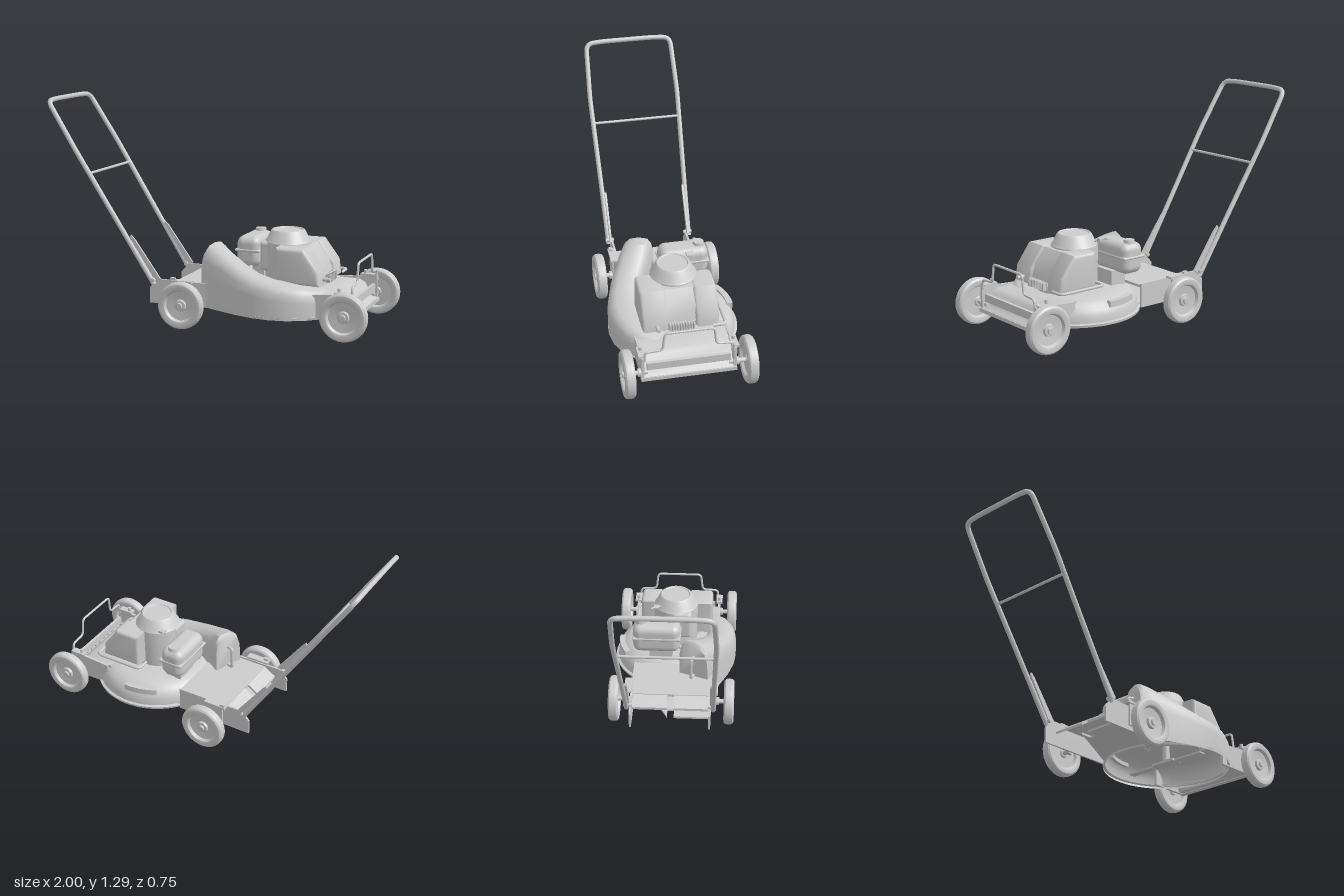
import * as THREE from 'three';
import { toCreasedNormals } from 'three/addons/utils/BufferGeometryUtils.js';
import { RoundedBoxGeometry } from 'three/addons/geometries/RoundedBoxGeometry.js';

const mat = new THREE.MeshStandardMaterial({ color: 0xcccccc, side: THREE.DoubleSide });
const V = (x, y, z) => new THREE.Vector3(x, y, z);

export function createModel() {
  const root = new THREE.Group();

  const add = (name, geo, x = 0, y = 0, z = 0) => {
    const m = new THREE.Mesh(geo, mat);
    m.name = name;
    m.position.set(x, y, z);
    root.add(m);
    return m;
  };
  const box = (name, w, h, d, x, y, z) => add(name, new THREE.BoxGeometry(w, h, d), x, y, z);
  const rounded = (name, w, h, d, r, x, y, z) => add(name, new RoundedBoxGeometry(w, h, d, 4, r), x, y, z);
  const lathe = (pts, seg = 48) => toCreasedNormals(
    new THREE.LatheGeometry(pts.map(p => new THREE.Vector2(p[0], p[1])), seg), 0.6);
  // Side profile in x-y, extruded from z0 to z1
  const profile = (name, pts, z0, z1, bevel = 0) => {
    const shape = new THREE.Shape(pts.map(p => new THREE.Vector2(p[0], p[1])));
    const geo = new THREE.ExtrudeGeometry(shape, {
      depth: z1 - z0 - 2 * bevel, bevelEnabled: bevel > 0,
      bevelSize: bevel, bevelThickness: bevel, bevelOffset: -bevel, bevelSegments: 3,
    });
    return add(name, toCreasedNormals(geo, 0.6), 0, 0, z0 + bevel);
  };
  // Horizontal sheet from an x-z shape, its top at the given height
  const sheet = (name, shape, x, top, thick) => {
    const geo = new THREE.ExtrudeGeometry(shape, { depth: thick, bevelEnabled: false, curveSegments: 32 });
    geo.rotateX(Math.PI / 2);
    return add(name, geo, x, top, 0);
  };
  // Bent tube: straight runs joined by rounded corners
  const tube = (name, pts, r, corner = 0.02, seg = 90) => {
    const path = new THREE.CurvePath();
    let last = pts[0];
    for (let i = 1; i < pts.length - 1; i++) {
      const p = pts[i];
      const toward = q => p.clone().add(q.clone().sub(p).setLength(Math.min(corner, p.distanceTo(q) * 0.45)));
      const a = toward(pts[i - 1]), b = toward(pts[i + 1]);
      path.add(new THREE.LineCurve3(last, a));
      path.add(new THREE.QuadraticBezierCurve3(a, p, b));
      last = b;
    }
    path.add(new THREE.LineCurve3(last, pts[pts.length - 1]));
    return add(name, new THREE.TubeGeometry(path, seg, r, 10));
  };
  const rod = (name, r, len, x, y, z, axis = 'z') => {
    const m = add(name, new THREE.CylinderGeometry(r, r, len, 20), x, y, z);
    if (axis === 'z') m.rotation.x = Math.PI / 2;
    if (axis === 'x') m.rotation.z = Math.PI / 2;
    return m;
  };

  // Round cutting deck, open underneath
  add('deckShell', lathe([[0.372, 0.111], [0.375, 0.125], [0.36, 0.13], [0.357, 0.165], [0.345, 0.195],
    [0.325, 0.22], [0.29, 0.24], [0.25, 0.25], [0, 0.252]], 64), 0.42);
  const slot = new THREE.Shape();
  slot.absarc(0, 0, 0.352, -1.52, -2.1, true);
  slot.absarc(0, 0, 0.318, -2.1, -1.52, false);
  sheet('deckPad', slot, 0.42, 0.236, 0.035);

  // Flat pans joining the round deck to the rear, the chute and the nose
  const rearPan = new THREE.Shape();
  rearPan.moveTo(-0.69, -0.23);
  rearPan.absarc(0, 0, 0.36, -2.44, -4.53, true);
  [[-0.09, 0.362], [-0.2, 0.33], [-0.3, 0.288], [-0.42, 0.23], [-0.69, 0.23], [-0.69, 0.02], [-0.62, 0.02],
    [-0.62, -0.02], [-0.69, -0.02]].forEach(p => rearPan.lineTo(p[0], p[1]));
  sheet('rearPan', rearPan, 0.42, 0.135, 0.012);
  const frontPan = new THREE.Shape();
  frontPan.moveTo(0.45, -0.255);
  frontPan.absarc(0, 0, 0.36, -0.787, 0.787, false);
  frontPan.lineTo(0.45, 0.255);
  sheet('frontPan', frontPan, 0.42, 0.135, 0.012);

  // Discharge chute: [innerX, innerZ, outerX, outerZ, topY] sections sweeping up around the deck
  const sections = [
    [0.03, 0.04, -0.035, 0.21, 0.45], [0.045, 0.045, -0.02, 0.22, 0.472], [0.08, 0.07, 0.03, 0.25, 0.455],
    [0.13, 0.095, 0.12, 0.29, 0.42], [0.22, 0.14, 0.22, 0.333, 0.376], [0.32, 0.18, 0.33, 0.365, 0.335],
    [0.42, 0.2, 0.43, 0.376, 0.312], [0.5, 0.19, 0.53, 0.361, 0.3], [0.57, 0.16, 0.62, 0.319, 0.285],
    [0.61, 0.12, 0.69, 0.256, 0.268], [0.63, 0.07, 0.735, 0.17, 0.25],
  ];
  const arch = [[0, 0], [0, 0.8], [0.05, 0.92], [0.17, 1], [0.45, 1.01], [0.72, 0.97], [0.88, 0.89], [0.97, 0.75], [1, 0.55], [1, 0]];
  const pos = [], idx = [], n = arch.length;
  sections.forEach(([ix, iz, ox, oz, top], i) => arch.forEach(([u, h], j) => {
    // The inner edge rests on the deck top, the outer edge drops to the rim
    pos.push(ix + (ox - ix) * u, j ? 0.111 + (top - 0.111) * h : 0.235, iz + (oz - iz) * u);
    if (i && j) {
      const a = (i - 1) * n + j - 1, b = i * n + j - 1;
      idx.push(a, a + 1, b, b, a + 1, b + 1);
    }
  }));
  for (let j = 1; j < n - 1; j++) idx.push(0, j + 1, j);
  const chute = new THREE.BufferGeometry();
  chute.setAttribute('position', new THREE.Float32BufferAttribute(pos, 3));
  chute.setIndex(idx);
  add('dischargeChute', toCreasedNormals(chute, 0.75));
  tube('chuteHandle', [V(0, 0.25, 0.125), V(-0.035, 0.25, 0.112), V(-0.035, 0.38, 0.112), V(0, 0.38, 0.125)], 0.01, 0.015, 40);

  // Rear platform with two sloping flaps
  box('rearPlatform', 0.32, 0.015, 0.46, -0.04, 0.235, 0);
  for (const s of [1, -1]) {
    profile('rearFlap', [[-0.27, 0.18], [-0.195, 0.228], [-0.195, 0.242], [-0.27, 0.195]], s > 0 ? 0.02 : -0.23, s > 0 ? 0.23 : -0.02);
  }
  // Front frame: sloping nose panel, rail and lip
  profile('frontPanel', [[0.6, 0.235], [0.6, 0.25], [0.78, 0.245], [0.815, 0.225], [0.845, 0.165], [0.885, 0.142],
    [0.89, 0.125], [0.83, 0.125], [0.8, 0.2], [0.77, 0.232]], -0.255, 0.255);
  box('frontRail', 0.018, 0.045, 0.47, 0.868, 0.205, 0);
  box('frontLip', 0.03, 0.022, 0.54, 0.878, 0.13, 0);

  // Wheel cross-section, revolved about its axle
  const wheelGeo = lathe([[0, -0.02], [0.022, -0.02], [0.028, -0.012], [0.085, -0.012], [0.094, -0.027], [0.108, -0.031],
    [0.125, -0.029], [0.134, -0.021], [0.137, -0.008], [0.137, 0.008], [0.134, 0.021], [0.125, 0.029], [0.108, 0.031],
    [0.094, 0.027], [0.085, 0.01], [0.036, 0.004], [0.033, 0.018], [0.018, 0.02], [0.016, 0.03], [0, 0.03]]);
  wheelGeo.rotateX(Math.PI / 2);

  for (const s of [1, -1]) {
    const wall = (name, pts, z, t) => profile(name, pts, s * z - t / 2, s * z + t / 2);
    wall('rearSideWall', [[-0.35, 0.11], [0.12, 0.11], [0.12, 0.25], [-0.3, 0.255], [-0.35, 0.2]], 0.232, 0.012);
    wall('frontSideWall', [[0.62, 0.12], [0.885, 0.12], [0.885, 0.27], [0.84, 0.28], [0.8, 0.262], [0.62, 0.25]], 0.26, 0.016);
    for (const [x, y] of [[-0.107, 0.138], [0.86, 0.16]]) {
      const wheel = add(x < 0 ? 'rearWheel' : 'frontWheel', wheelGeo, x, y, s * 0.343);
      if (s < 0) wheel.rotation.y = Math.PI;
      rod('axle', 0.014, 0.1, x, y, s * 0.28);
      rod('axleCollar', 0.024, 0.02, x, y, s * 0.275);
    }
    // Height adjusters
    box('rearBracket', 0.1, 0.13, 0.012, -0.14, 0.19, s * 0.262);
    box('rearBracketTop', 0.14, 0.012, 0.045, -0.14, 0.258, s * 0.255);
    box('adjusterTab', 0.03, 0.02, 0.02, -0.19, 0.267, s * 0.262);
    box('frontBracket', 0.09, 0.014, 0.04, 0.83, 0.272, s * 0.262);
    rod('frontAdjusterPin', 0.01, 0.03, 0.81, 0.285, s * 0.262, 'y');
    // Tapered braces at the foot of the handle
    wall('handleBrace', [[-0.31, 0.235], [-0.28, 0.26], [-0.44, 0.48], [-0.465, 0.505], [-0.47, 0.49]], 0.242, 0.012);
    rod('handleBolt', 0.012, 0.05, -0.32, 0.25, s * 0.245);
  }

  // Push handle, bowed slightly at the grip
  const side = s => [V(-0.315, 0.225, s * 0.253), V(-0.5, 0.515, s * 0.26), V(-0.8, 0.985, s * 0.274),
    V(-0.983, 1.268, s * 0.263), V(-0.986, 1.276, s * 0.17)];
  tube('pushHandle', [...side(1), ...side(-1).reverse()], 0.0145, 0.05, 260);
  rod('handleCrossbar', 0.008, 0.53, -0.715, 0.857, 0);

  // Wire guard above the nose
  const guard = [[0.25, 0.25], [0.25, 0.31], [0.15, 0.315], [0.138, 0.424]];
  tube('frontGuard', [...guard.map(([z, y]) => V(0.88, y, z)), ...guard.slice().reverse().map(([z, y]) => V(0.88, y, -z))], 0.007, 0.025, 150);

  // Engine: base, fan housing and cowl
  add('engineBase', new THREE.CylinderGeometry(0.145, 0.15, 0.09, 40), 0.5, 0.285, 0);
  add('fanHousing', lathe([[0.13, 0.25], [0.135, 0.47], [0.133, 0.492], [0.122, 0.505], [0.1, 0.552], [0.092, 0.56],
    [0.084, 0.56], [0.08, 0.555], [0, 0.555]]), 0.42);
  profile('cowlCentre', [[0.4, 0.32], [0.4, 0.485], [0.57, 0.485], [0.64, 0.4], [0.665, 0.32]], -0.1, 0.1);
  profile('cowlLeft', [[0.42, 0.285], [0.42, 0.49], [0.58, 0.49], [0.67, 0.37], [0.68, 0.285]], 0.075, 0.225, 0.02);
  profile('cowlRight', [[0.43, 0.285], [0.43, 0.49], [0.58, 0.49], [0.67, 0.37], [0.68, 0.285]], -0.215, -0.08, 0.02);
  rounded('cylinderBlock', 0.13, 0.17, 0.12, 0.02, 0.345, 0.41, 0.04);
  for (let i = 0; i < 10; i++) box('coolingFin', 0.06, 0.045, 0.007, 0.665, 0.302, -0.068 + i * 0.015);
  box('finBacking', 0.04, 0.04, 0.15, 0.65, 0.302, 0);
  tube('exhaustGuard', [V(0.4, 0.3, -0.17), V(0.4, 0.3, -0.248), V(0.7, 0.3, -0.248), V(0.7, 0.3, -0.17)], 0.009, 0.03, 60);
  rod('sparkPlug', 0.011, 0.05, 0.695, 0.315, 0.14, 'x');
  box('starterGrip', 0.04, 0.012, 0.03, 0.315, 0.525, -0.115);
  tube('starterCord', [V(0.36, 0.5, -0.07), V(0.32, 0.525, -0.11), V(0.29, 0.53, -0.14)], 0.006, 0.02, 20);

  // Fuel tank with cap, bracket and hose
  rounded('fuelTank', 0.145, 0.18, 0.285, 0.045, 0.18, 0.412, -0.105);
  rounded('tankSeam', 0.153, 0.016, 0.293, 0.007, 0.18, 0.42, -0.105);
  add('fuelCap', new THREE.CylinderGeometry(0.03, 0.034, 0.02, 24), 0.18, 0.508, -0.2);
  box('tankBracket', 0.1, 0.09, 0.14, 0.22, 0.29, -0.08);
  tube('fuelHose', [V(0.2, 0.34, 0), V(0.2, 0.29, 0.07), V(0.32, 0.29, 0.12)], 0.011, 0.05, 40);

  // Cutting blade and spindle, the blade lying across the deck
  rod('spindle', 0.022, 0.12, 0.42, 0.19, 0, 'y');
  box('blade', 0.045, 0.008, 0.55, 0.42, 0.132, 0);
  box('bladeMount', 0.075, 0.014, 0.16, 0.42, 0.135, 0);

  return root;
}
